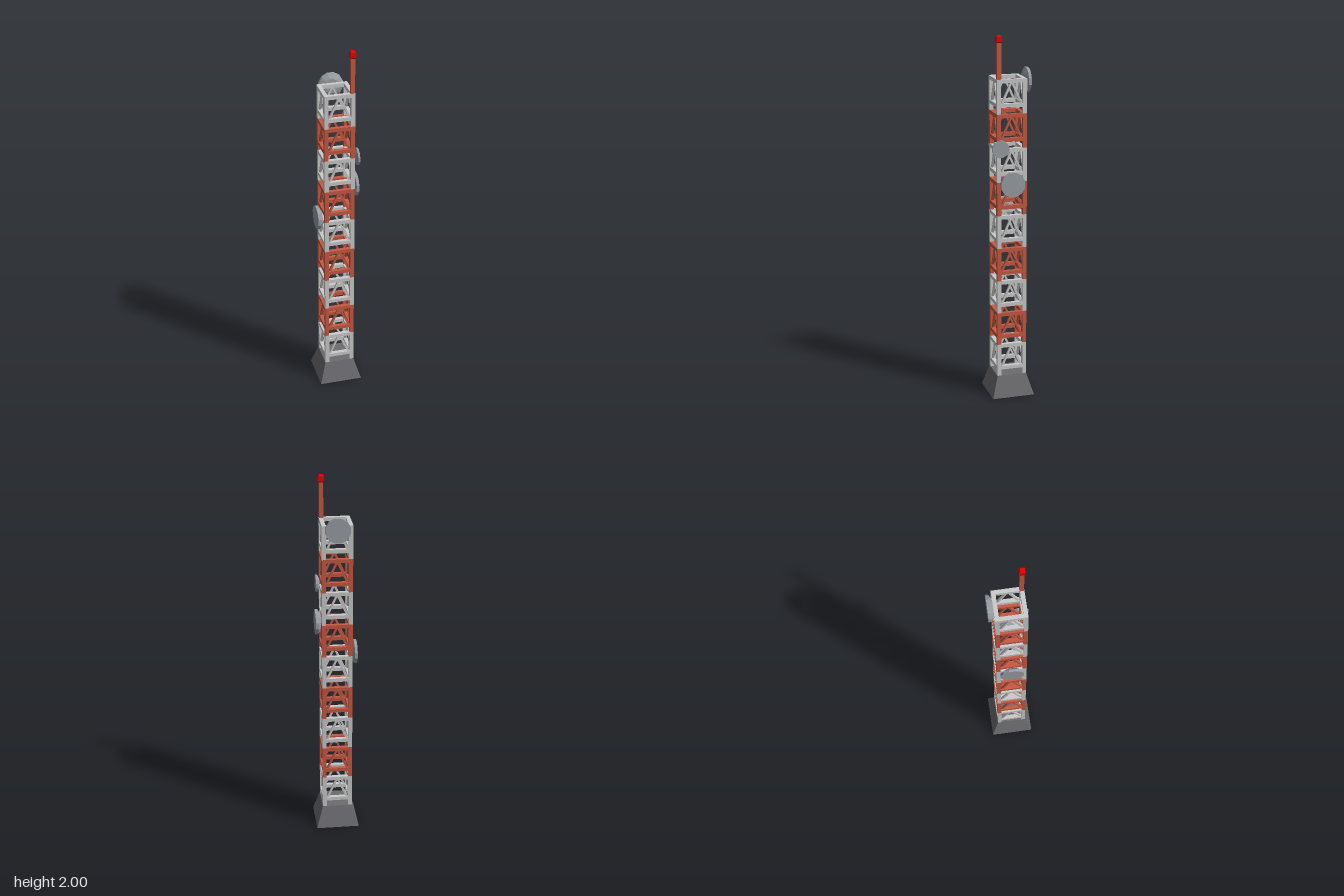
import * as THREE from 'three';

const mat = (color) => new THREE.MeshStandardMaterial({ color, flatShading: true });
const WHITE = mat(0xcccccc), RED = mat(0xc75a44), LAMP = mat(0xe60000);
const CONCRETE = mat(0x6c6c70), DISH = mat(0x9aa0a6);

const HALF = 0.082;          // half width of the tower
const BAR = 0.022;           // leg and beam thickness
const C = HALF - BAR / 2;    // centre line of the legs
const BASE_H = 0.12, TOP = 1.77, SECTIONS = 9;
const STEP = (TOP - BASE_H) / SECTIONS;

function add(parent, name, geometry, material, x = 0, y = 0, z = 0) {
  const mesh = new THREE.Mesh(geometry, material);
  mesh.name = name;
  mesh.position.set(x, y, z);
  parent.add(mesh);
  return mesh;
}

// Four-sided frustum with its sides square to the axes
function frustum(top, bottom, height) {
  return new THREE.CylinderGeometry(top * Math.SQRT2, bottom * Math.SQRT2, height, 4)
    .rotateY(Math.PI / 4);
}

// One face of a lattice section: two beams and an inverted V brace
function latticeFace(material) {
  const face = new THREE.Group();
  face.name = 'latticeFace';
  const inner = 2 * (HALF - BAR);
  const low = 0.045, high = STEP - 0.01;
  const beam = new THREE.BoxGeometry(inner, 0.02, BAR);
  add(face, 'topBeam', beam, material, 0, high, C);
  add(face, 'lowerBeam', beam, material, 0, low, C);
  const dx = HALF - BAR - 0.004, dy = high - low - 0.006;
  const brace = new THREE.BoxGeometry(0.011, Math.hypot(dx, dy), 0.011);
  for (const s of [-1, 1]) {
    const b = add(face, 'brace', brace, material, s * dx / 2, (low + high) / 2, C);
    b.rotation.z = s * Math.atan2(dx, dy);
  }
  return face;
}

function section(i) {
  const g = new THREE.Group();
  g.name = 'towerSection';
  g.position.y = BASE_H + i * STEP;
  const material = i % 2 ? RED : WHITE;
  const leg = new THREE.BoxGeometry(BAR, STEP, BAR);
  for (const x of [-C, C]) for (const z of [-C, C]) add(g, 'leg', leg, material, x, STEP / 2, z);
  for (let k = 0; k < 4; k++) {
    const face = latticeFace(material);
    face.rotation.y = k * Math.PI / 2;
    g.add(face);
  }
  return g;
}

// Drum dish with a tapered back, pointing along local +z
function dish(radius, depth, x, y, z, turn) {
  const g = new THREE.Group();
  g.name = 'dish';
  const profile = [[0, 0], [radius * 0.6, 0], [radius * 0.88, depth * 0.35],
    [radius, depth * 0.5], [radius, depth], [0, depth]].map(([r, h]) => new THREE.Vector2(r, h));
  const geometry = new THREE.LatheGeometry(profile, 12).rotateY(Math.PI / 12).rotateX(Math.PI / 2);
  add(g, 'dishDrum', geometry, DISH);
  g.position.set(x, y, z);
  g.rotation.y = turn;
  return g;
}

export function createModel() {
  const model = new THREE.Group();
  model.name = 'radioTower';

  // Concrete footing
  add(model, 'base', frustum(HALF, 0.118, BASE_H), CONCRETE, 0, BASE_H / 2, 0);

  // Lattice tower in alternating colours
  for (let i = 0; i < SECTIONS; i++) model.add(section(i));

  // Mast with warning lamp on the front left corner
  add(model, 'mast', new THREE.BoxGeometry(0.022, 0.2, 0.022), RED, 0.069, TOP + 0.1, 0.069);
  const lamp = new THREE.Group();
  lamp.name = 'warningLamp';
  lamp.position.set(0.069, 1.96, 0.069);
  add(lamp, 'lampBottom', frustum(0.015, 0.011, 0.006), LAMP, 0, 0.003, 0);
  add(lamp, 'lampBody', frustum(0.015, 0.015, 0.026), LAMP, 0, 0.019, 0);
  add(lamp, 'lampTop', frustum(0.009, 0.015, 0.008), LAMP, 0, 0.036, 0);
  model.add(lamp);

  // Dishes on the back, left and right sides
  const q = Math.PI / 2;
  model.add(dish(0.068, 0.03, 0, 1.75, -HALF, Math.PI));
  model.add(dish(0.047, 0.02, HALF, 1.405, 0.067, q));
  model.add(dish(0.068, 0.03, HALF, 1.21, 0.002, q));
  model.add(dish(0.066, 0.03, -HALF, 1.03, 0, -q));
  return model;
}
